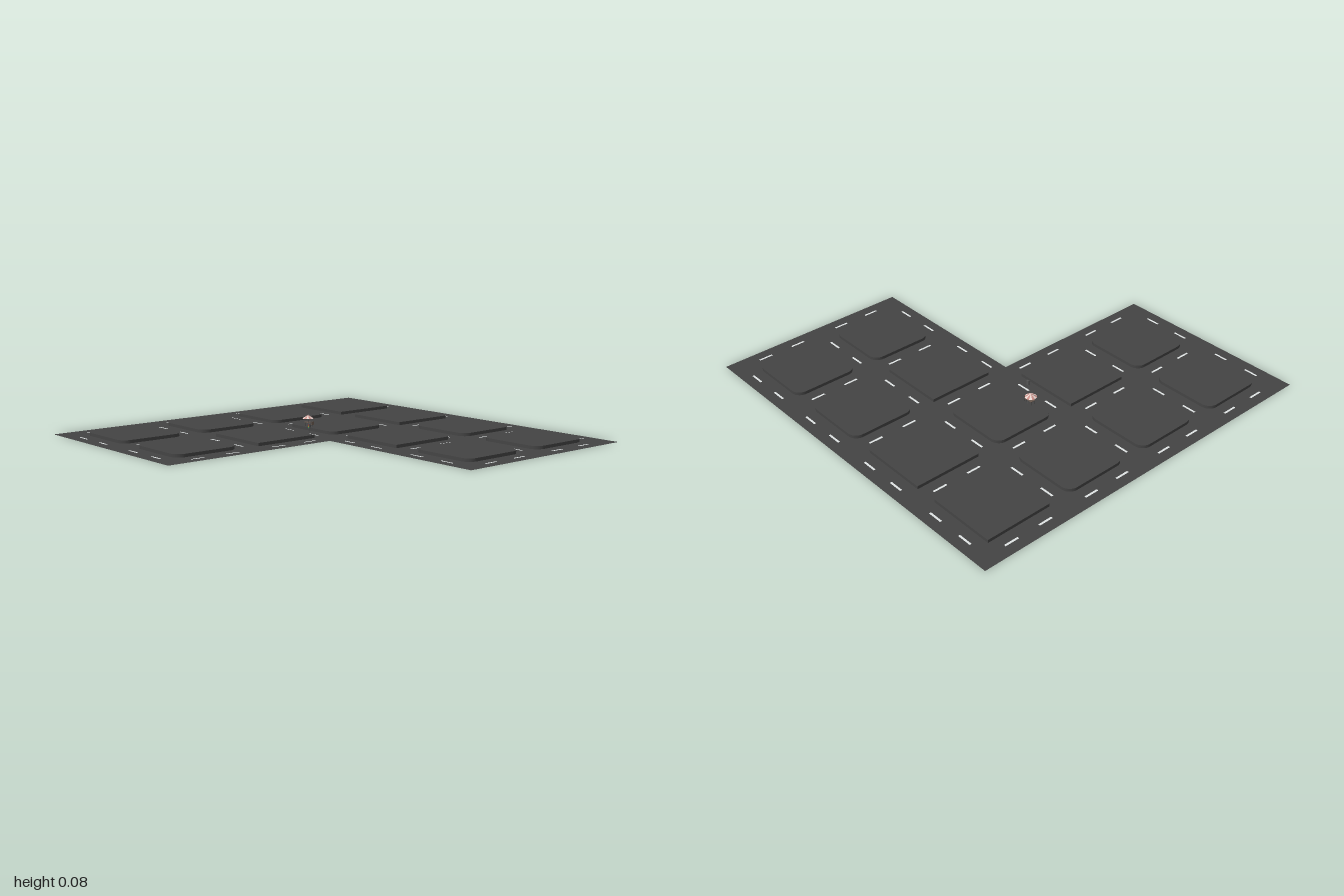
import * as THREE from 'three';

const mat = (color, extra = {}) => new THREE.MeshStandardMaterial({ color, ...extra });
const asphalt = mat(0x444444, { side: THREE.DoubleSide });
const paint = mat(0xe0e4e4, { side: THREE.DoubleSide });
const grey = mat(0xcccccc);
const metal = mat(0x555555);
const wood = mat(0x6a5a50);
const canopyMats = [mat(0xc98d86, { side: THREE.DoubleSide }), mat(0xe8d8d2, { side: THREE.DoubleSide })];

const PITCH = 0.47, BLOCK = 0.352, KERB = 0.016;
// Street blocks by row, back to front: S = square corners, R = rounded corners
const LAYOUT = ['SSRR', 'RRSR', 'RS', 'RR'];
const centre = (i) => (i - 1.5) * PITCH;

// Rectangle outline in plan, with optional corner radius (shape y = -z)
function outline(Type, x, z, w, d, r = 0) {
  const p = new Type(), X = w / 2, Y = d / 2, y = -z;
  if (!r) {
    p.moveTo(x - X, y - Y).lineTo(x + X, y - Y).lineTo(x + X, y + Y).lineTo(x - X, y + Y);
  } else {
    p.absarc(x + X - r, y - Y + r, r, -Math.PI / 2, 0);
    p.absarc(x + X - r, y + Y - r, r, 0, Math.PI / 2);
    p.absarc(x - X + r, y + Y - r, r, Math.PI / 2, Math.PI);
    p.absarc(x - X + r, y - Y + r, r, Math.PI, Math.PI * 1.5);
  }
  p.closePath();
  return p;
}

function add(parent, name, geometry, material, x = 0, y = 0, z = 0) {
  const m = new THREE.Mesh(geometry, material);
  m.name = name;
  m.position.set(x, y, z);
  parent.add(m);
  return m;
}

const flat = (shape) => new THREE.ShapeGeometry(shape, 6).rotateX(-Math.PI / 2);

function buildStreets() {
  const g = new THREE.Group();
  g.name = 'streets';

  // L-shaped road sheet
  const road = new THREE.Shape();
  [[-1, 1], [-1, -1], [0.055, -1], [0.055, -0.055], [1, -0.055], [1, 1]]
    .forEach(([x, y], i) => (i ? road.lineTo(x, y) : road.moveTo(x, y)));
  road.closePath();

  // Raised blocks, and lane dashes on all four sides of each
  const dashes = new Map();
  LAYOUT.forEach((row, j) => [...row].forEach((type, i) => {
    const x = centre(i), z = centre(j), r = type === 'R' ? 0.05 : 0;
    road.holes.push(outline(THREE.Path, x, z, BLOCK, BLOCK, r));
    const slab = new THREE.ExtrudeGeometry(outline(THREE.Shape, x, z, BLOCK, BLOCK, r),
      { depth: KERB, bevelEnabled: false, curveSegments: 6 }).rotateX(-Math.PI / 2);
    add(g, 'cityBlock', slab, asphalt);
    for (const side of [-PITCH / 2, PITCH / 2]) for (const s of [-0.097, 0.097]) {
      for (const d of [[x + s, z + side, 0.075, 0.011], [x + side, z + s, 0.011, 0.075]]) {
        dashes.set(d[0].toFixed(3).replace('-0.000', '0.000') + ',' + d[1].toFixed(3).replace('-0.000', '0.000'), d);
      }
    }
  }));

  // Dashes are inlaid in the road, so they show from both sides
  for (const d of dashes.values()) {
    road.holes.push(outline(THREE.Path, ...d));
    add(g, 'laneDash', flat(outline(THREE.Shape, ...d)), paint);
  }
  add(g, 'road', flat(road), asphalt);
  return g;
}

function buildParasolTable() {
  const g = new THREE.Group();
  g.name = 'parasolTable';
  g.position.set(-0.28, KERB, -0.083);

  // Striped canopy
  const panels = 12, step = (Math.PI * 2) / panels;
  for (let i = 0; i < panels; i++) {
    add(g, 'canopyPanel', new THREE.ConeGeometry(0.03, 0.018, 1, 1, true, i * step, step),
      canopyMats[i % 2], 0, 0.05, 0);
  }
  add(g, 'finial', new THREE.SphereGeometry(0.0018, 8, 6), grey, 0, 0.06, 0);
  add(g, 'parasolPole', new THREE.CylinderGeometry(0.0012, 0.0012, 0.058, 8), metal, 0, 0.029, 0);

  // Table
  add(g, 'tableTop', new THREE.BoxGeometry(0.032, 0.002, 0.026), wood, 0, 0.021, 0);
  for (const x of [-0.013, 0.013]) for (const z of [-0.01, 0.01]) {
    add(g, 'tableLeg', new THREE.BoxGeometry(0.002, 0.02, 0.002), metal, x, 0.01, z);
  }

  // Chair beside the table
  const chair = new THREE.Group();
  chair.name = 'chair';
  chair.position.set(0.032, 0, 0);
  add(chair, 'seat', new THREE.BoxGeometry(0.012, 0.0015, 0.013), wood, 0, 0.012, 0);
  add(chair, 'chairBack', new THREE.BoxGeometry(0.0015, 0.016, 0.013), wood, 0.006, 0.02, 0);
  for (const x of [-0.005, 0.005]) for (const z of [-0.0055, 0.0055]) {
    add(chair, 'chairLeg', new THREE.BoxGeometry(0.0015, 0.012, 0.0015), metal, x, 0.006, z);
  }
  g.add(chair);
  return g;
}

function buildTrafficLight() {
  const g = new THREE.Group();
  g.name = 'trafficLight';
  g.position.set(-0.165, 0, 0.005);
  add(g, 'signalPole', new THREE.CylinderGeometry(0.0008, 0.0008, 0.04, 8), metal, 0, 0.02, 0);
  add(g, 'signalHousing', new THREE.BoxGeometry(0.013, 0.024, 0.008), metal, 0, 0.04, 0);
  [0xaa3030, 0xc0a040, 0x40a060].forEach((c, i) => {
    add(g, 'signalLamp', new THREE.CylinderGeometry(0.003, 0.003, 0.002, 12).rotateX(Math.PI / 2),
      mat(c), 0, 0.0475 - i * 0.0075, 0.0045);
  });
  return g;
}

export function createModel() {
  const model = new THREE.Group();
  model.name = 'streetGrid';
  model.add(buildStreets(), buildParasolTable(), buildTrafficLight());
  return model;
}
